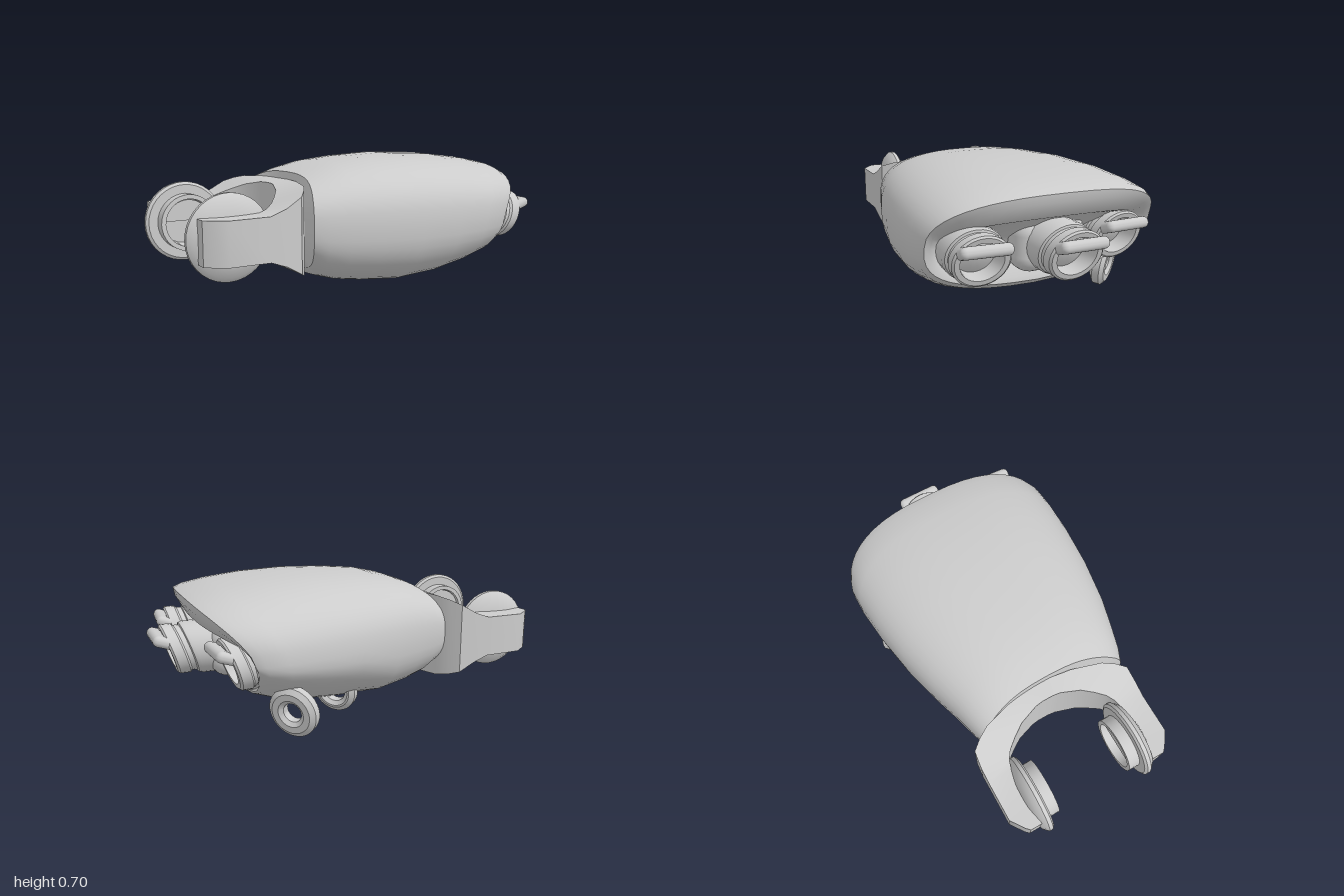
import * as THREE from 'three';
import { toCreasedNormals } from 'three/addons/utils/BufferGeometryUtils.js';
import { RoundedBoxGeometry } from 'three/addons/geometries/RoundedBoxGeometry.js';

const grey = new THREE.MeshStandardMaterial({ color: 0xcccccc });
const greyDouble = new THREE.MeshStandardMaterial({ color: 0xcccccc, side: THREE.DoubleSide });

function part(name, geometry, parent, material = grey) {
  const mesh = new THREE.Mesh(geometry, material);
  mesh.name = name;
  parent.add(mesh);
  return mesh;
}

// Surface through rows of n points each
function loft(pos, n, caps = []) {
  const index = [...caps];
  for (let p = 0; p < pos.length / 3 - n; p += n) {
    for (let j = 0; j < n; j++) {
      const k = (j + 1) % n;
      index.push(p + j, p + n + j, p + k, p + k, p + n + j, p + n + k);
    }
  }
  const g = new THREE.BufferGeometry();
  g.setAttribute('position', new THREE.Float32BufferAttribute(pos, 3));
  g.setIndex(index);
  return toCreasedNormals(g, 0.7);
}

// Signed power, for squarish oval sections
const spow = (v, p) => Math.sign(v) * Math.abs(v) ** p;

// Palm: oval sections along x between a bowed wrist edge and a slanted knuckle rim
// Each row: t along the palm, half width, top y, bottom y, z centre, x shift
function palmGeometry() {
  const rows = [
    [0, 0, 0.38, 0.38, 0.03, 0],
    [0, 0.417, 0.62, 0.15, 0.033, 0],
    [0.06, 0.442, 0.645, 0.105, 0.036, 0],
    [0.16, 0.472, 0.672, 0.075, 0.036, 0],
    [0.3, 0.517, 0.688, 0.055, 0.031, 0],
    [0.5, 0.565, 0.698, 0.036, 0.018, 0],
    [0.7, 0.594, 0.69, 0.05, 0.006, 0],
    [0.86, 0.605, 0.668, 0.085, -0.003, 0],
    [0.96, 0.602, 0.645, 0.12, -0.007, 0],
    [1, 0.585, 0.625, 0.15, -0.007, 0],
    [1, 0.55, 0.585, 0.175, -0.004, -0.005],
    [1, 0.5, 0.51, 0.24, 0, -0.045],
    [0.96, 0.47, 0.49, 0.25, 0, -0.045],
    [0.96, 0, 0.37, 0.37, 0, -0.045],
  ];
  const n = 48, pos = [];
  rows.forEach(([t, w, top, bottom, zc, dx], i) => {
    for (let j = 0; j < n; j++) {
      const a = (j / n) * Math.PI * 2;
      const c = spow(Math.cos(a), 0.76), s = spow(Math.sin(a), 0.76);
      const xl = -0.445 + 0.085 * Math.abs(s) ** 3;
      const xr = 0.64 + (s > 0 ? 0.2 * s ** 1.5 : 0.05 * s);
      const yMid = Math.min(0.39, (top + bottom) / 2 + 0.03);
      let y = w === 0 ? top : yMid + s * (s > 0 ? top - yMid : yMid - bottom);
      // Underside is flatter towards the back
      if (s < 0 && c < 0 && i < 10) y -= 0.14 * s * c * c * THREE.MathUtils.smoothstep(t, 0.25, 0.6);
      const x = w === 0 ? (i === 0 ? -0.4 : 0.63) : xl + (xr - xl) * t + dx;
      pos.push(x, y, zc + c * w);
    }
  });
  return loft(pos, n);
}

// Horseshoe fork: box section swept round from one tip to the other, deeper at the palm
// Each station: outer x, outer z, inner x, inner z
function forkGeometry() {
  const half = [
    [-0.95, 0.38, -0.95, 0.32], [-0.93, 0.4, -0.92, 0.32], [-0.86, 0.45, -0.84, 0.32], [-0.66, 0.45, -0.65, 0.32],
    [-0.58, 0.449, -0.61, 0.308], [-0.5, 0.44, -0.57, 0.28], [-0.46, 0.39, -0.53, 0.23],
    [-0.425, 0.33, -0.49, 0.17], [-0.38, 0.17, -0.455, 0.07], [-0.365, 0.05, -0.45, 0.03],
  ];
  const stations = [...half, ...half.map(([a, b, c, d]) => [a, -b, c, -d]).reverse()];
  const depth = x => 0.102 + 0.118 * THREE.MathUtils.smoothstep(x, -0.68, -0.38);
  const pos = stations.flatMap(([ox, oz, ix, iz]) => {
    const o = depth(ox), i = depth(ix), y = 0.363;
    return [ox, y - o, oz - 0.01, ox, y + o, oz - 0.01, ix, y + i, iz - 0.01, ix, y - i, iz - 0.01];
  });
  const e = pos.length / 3 - 4;
  return loft(pos, 4, [0, 1, 2, 0, 2, 3, e, e + 2, e + 1, e, e + 3, e + 2]);
}

// Lathe from [radius, height] pairs
const lathe = (pts, seg = 32) =>
  toCreasedNormals(new THREE.LatheGeometry(pts.map(p => new THREE.Vector2(...p)), seg), 0.6);

// Finger socket along +x: collar, slant-cut open ring and a tilted hinge plate
function knuckle(name, x, y, z, turn) {
  const g = new THREE.Group();
  g.name = name;
  const cup = lathe([[0, -0.05], [0.143, -0.05], [0.143, 0.13], [0.136, 0.15], [0.124, 0.155], [0.124, 0.18],
    [0.134, 0.19], [0.134, 0.24], [0.124, 0.25], [0.1, 0.25], [0.09, 0.15], [0.05, 0.165], [0, 0.17]]);
  cup.rotateZ(-Math.PI / 2);
  // The outer end reaches further on its upper side
  const p = cup.attributes.position;
  for (let i = 0; i < p.count; i++) {
    if (p.getX(i) > 0.1) p.setX(i, p.getX(i) + 0.3 * (p.getY(i) - 0.02));
  }
  cup.scale(1, 0.93, 1);
  part('socketRing', toCreasedNormals(cup, 0.6), g);

  const plate = part('hingePlate', new RoundedBoxGeometry(0.17, 0.055, 0.235, 3, 0.026), g);
  plate.position.set(0.245, 0.048, 0);
  plate.rotation.z = 0.33;
  g.position.set(x, y, z);
  g.rotation.y = turn;
  return g;
}

// Fork pivot: domed outer disc, open hub facing inward with a half-round stop
function pivot(side) {
  const g = new THREE.Group();
  g.name = side > 0 ? 'frontPivot' : 'backPivot';
  const disc = lathe([[0, 0.09], [0.115, 0.09], [0.122, 0], [0.145, 0], [0.145, 0.06],
    [0.19, 0.06], [0.204, 0.07], [0.204, 0.09], [0.18, 0.115], [0.12, 0.135], [0, 0.15]].reverse(), 36);
  disc.rotateX(-Math.PI / 2);
  disc.scale(1, 1, -1);
  part('pivotDisc', disc, g, greyDouble);
  const half = new THREE.Shape();
  half.absarc(0, 0, 0.117, 0.1, Math.PI - 0.1);
  half.closePath();
  part('pivotStop', new THREE.ExtrudeGeometry(half, { depth: 0.08, bevelEnabled: false }), g).position.z = 0.015;
  g.position.set(-0.79, 0.362, side * 0.205 - 0.01);
  if (side < 0) g.rotation.y = Math.PI;
  return g;
}

// Thick flat-sided ring, facing back and to the knuckle end
function lug(name, x, y, z, outer, inner) {
  const ring = lathe([[inner, -0.02], [inner + 0.02, -0.036], [outer - 0.025, -0.036], [outer, -0.018], [outer, 0.018],
    [outer - 0.025, 0.036], [inner + 0.02, 0.036], [inner, 0.02], [inner, -0.02]]);
  ring.rotateX(Math.PI / 2);
  const mesh = part(name, ring, new THREE.Group(), greyDouble);
  mesh.position.set(x, y, z);
  mesh.rotation.set(0.15, Math.PI * 0.72, 0, 'YXZ');
  return mesh;
}

export function createModel() {
  const model = new THREE.Group();
  model.name = 'mechanicalPalm';
  part('palmShell', palmGeometry(), model);
  part('wristFork', forkGeometry(), model);
  model.add(pivot(1), pivot(-1));

  // Finger sockets
  model.add(
    knuckle('frontKnuckle', 0.58, 0.36, 0.365, -0.08),
    knuckle('middleKnuckle', 0.672, 0.36, -0.02, 0),
    knuckle('backKnuckle', 0.465, 0.355, -0.365, 0.05),
  );

  // Block carrying the middle socket
  const block = part('knuckleBlock', new RoundedBoxGeometry(0.2, 0.26, 0.36, 3, 0.08), model);
  block.position.set(0.63, 0.355, -0.02);

  // Rings under the palm
  model.add(lug('rearLug', 0.43, 0.125, -0.485, 0.125, 0.048));
  model.add(lug('innerLug', 0.13, 0.13, -0.28, 0.115, 0.06));
  return model;
}
